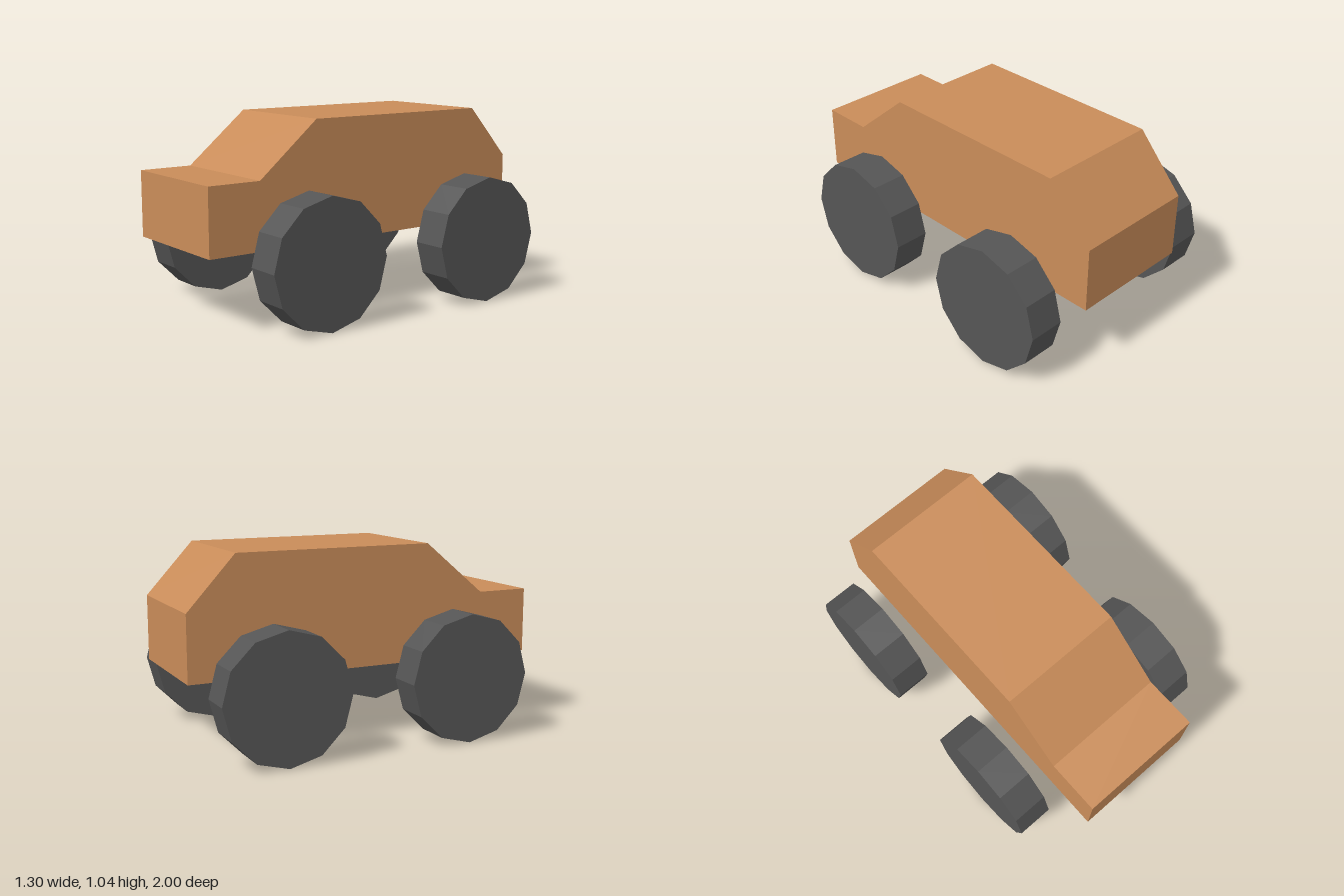
import * as THREE from 'three';

export function createModel() {
  const group = new THREE.Group();
  const paint = new THREE.MeshStandardMaterial({ name: 'orange paint', color: 0xc98c59, flatShading: true });
  const rubber = new THREE.MeshStandardMaterial({ name: 'dark rubber', color: 0x555555, flatShading: true });

  // Body: side profile as [z, y], extruded across the width
  const profile = [[1, 0.4], [1, 0.757], [0.705, 0.757], [0.36, 1.043], [-0.738, 1.043], [-1, 0.757], [-1, 0.4]];
  const shape = new THREE.Shape(profile.map(([z, y]) => new THREE.Vector2(-z, y)));
  const width = 0.692;
  const bodyGeometry = new THREE.ExtrudeGeometry(shape, { depth: width, bevelEnabled: false });
  bodyGeometry.translate(0, 0, -width / 2).rotateY(Math.PI / 2);
  const body = new THREE.Mesh(bodyGeometry, paint);
  body.name = 'body';
  group.add(body);

  // Wheels: twelve-sided discs; the front left one sits slightly further in
  const wheelGeometry = new THREE.CylinderGeometry(0.347, 0.347, 0.197, 12).rotateZ(Math.PI / 2);
  const wheels = [
    ['frontRightWheel', -0.551, 0.458],
    ['frontLeftWheel', 0.513, 0.458],
    ['rearRightWheel', -0.551, -0.584],
    ['rearLeftWheel', 0.549, -0.584],
  ];
  for (const [name, x, z] of wheels) {
    const wheel = new THREE.Mesh(wheelGeometry, rubber);
    wheel.name = name;
    wheel.position.set(x, 0.347, z);
    group.add(wheel);
  }
  return group;
}
